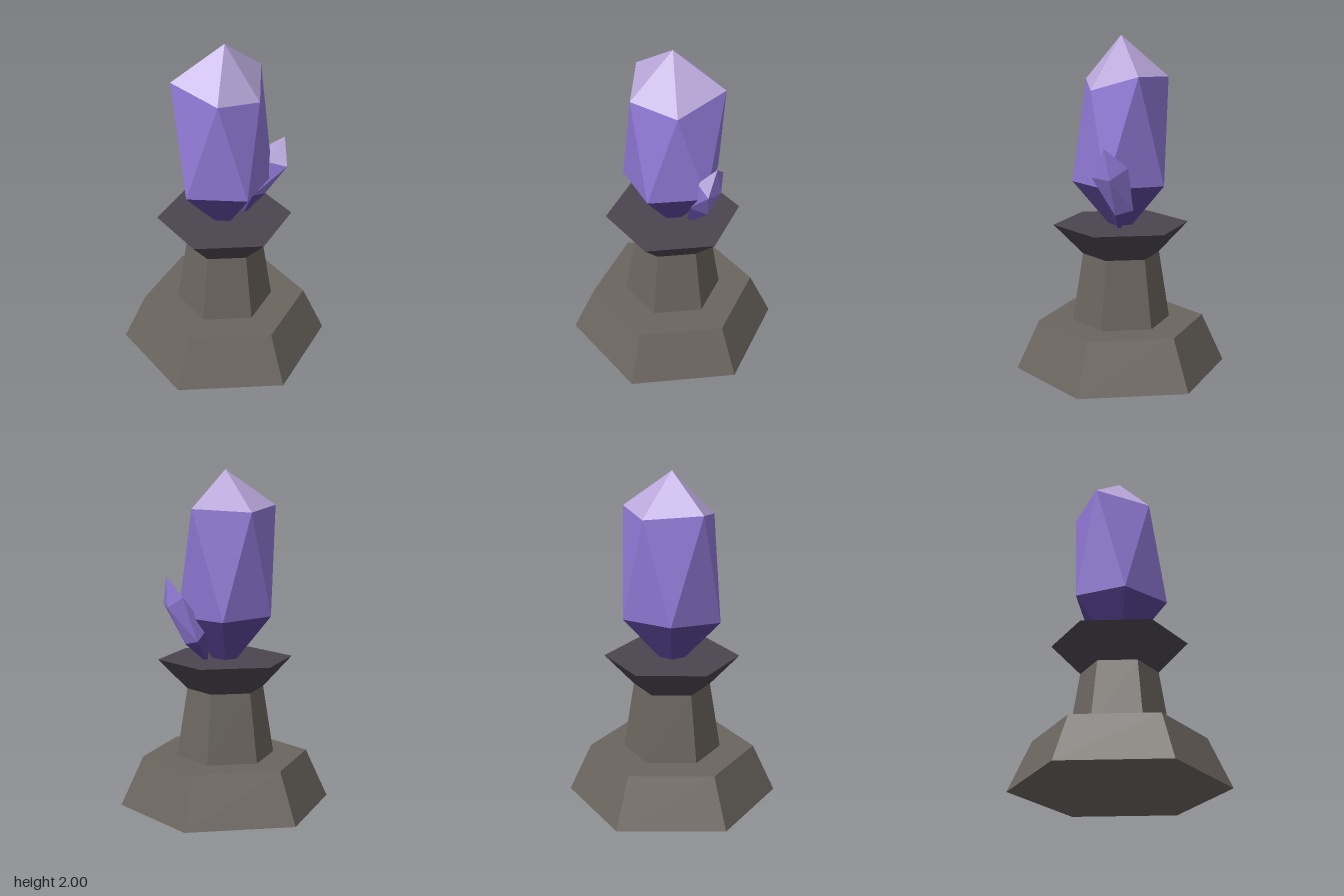
import * as THREE from 'three';

function mat(name, color) {
  return new THREE.MeshStandardMaterial({ name, color, flatShading: true });
}

// Faceted crystal: tip, upper ring, lower ring (offset half a step), root point.
// Rings run counter-clockwise seen from above. Parts share one lookup of materials.
function crystal(name, apex, upper, lower, root, mats, dullCaps = []) {
  const group = new THREE.Group();
  group.name = name;
  const faces = { tip: [], shaft: [], root: [] };
  upper.forEach((u, i) => {
    const j = (i + 1) % upper.length;
    (dullCaps.includes(i) ? faces.shaft : faces.tip).push(apex, u, upper[j]);
    faces.shaft.push(u, lower[i], upper[j], lower[i], lower[j], upper[j]);
    faces.root.push(root, lower[j], lower[i]);
  });
  for (const part in faces) {
    const geo = new THREE.BufferGeometry();
    geo.setAttribute('position', new THREE.Float32BufferAttribute(faces[part].flat(), 3));
    geo.computeVertexNormals();
    const mesh = new THREE.Mesh(geo, mats[part]);
    mesh.name = name + ' ' + part;
    group.add(mesh);
  }
  return group;
}

export function createModel() {
  const model = new THREE.Group();
  model.name = 'crystal pedestal';
  const stone = mat('stone', 0x6b655f);
  const darkStone = mat('dark stone', 0x4a444f);
  const mats = {
    tip: mat('pale lilac', 0xbba8dc),
    shaft: mat('violet', 0x9079d6),
    root: mat('deep violet', 0x5c4799),
  };

  // Hexagonal pedestal tiers: name, bottom radius, top radius, y from, y to
  [
    ['base', 0.635, 0.5, 0, 0.295, stone],
    ['column', 0.295, 0.23, 0.295, 0.705, stone],
    ['bowl', 0.23, 0.405, 0.705, 0.885, darkStone],
  ].forEach(([name, rBottom, rTop, y0, y1, material]) => {
    const mesh = new THREE.Mesh(new THREE.CylinderGeometry(rTop, rBottom, y1 - y0, 6), material);
    mesh.name = name;
    mesh.position.y = (y0 + y1) / 2;
    model.add(mesh);
  });

  // Large five-sided crystal
  model.add(crystal('main crystal', [0, 2, 0],
    [[-0.175, 1.735, 0.19], [0.11, 1.69, 0.19], [0.295, 1.78, -0.06], [0.03, 1.76, -0.275], [-0.28, 1.79, -0.125]],
    [[-0.035, 1.14, 0.287], [0.26, 1.14, 0.122], [0.2, 1.14, -0.225], [-0.14, 1.15, -0.25], [-0.3, 1.125, 0.05]],
    [0, 0.795, 0], mats));

  // Small leaning four-sided crystal
  model.add(crystal('side crystal', [0.33, 1.385, 0.14],
    [[0.21, 1.25, 0.135], [0.305, 1.22, 0.205], [0.345, 1.205, 0.11], [0.315, 1.27, 0]],
    [[0.14, 1.02, 0.09], [0.25, 0.985, 0.065], [0.24, 1.01, -0.04], [0.15, 1.08, -0.02]],
    [0.11, 0.86, 0.03], mats, [1, 2]));

  return model;
}
